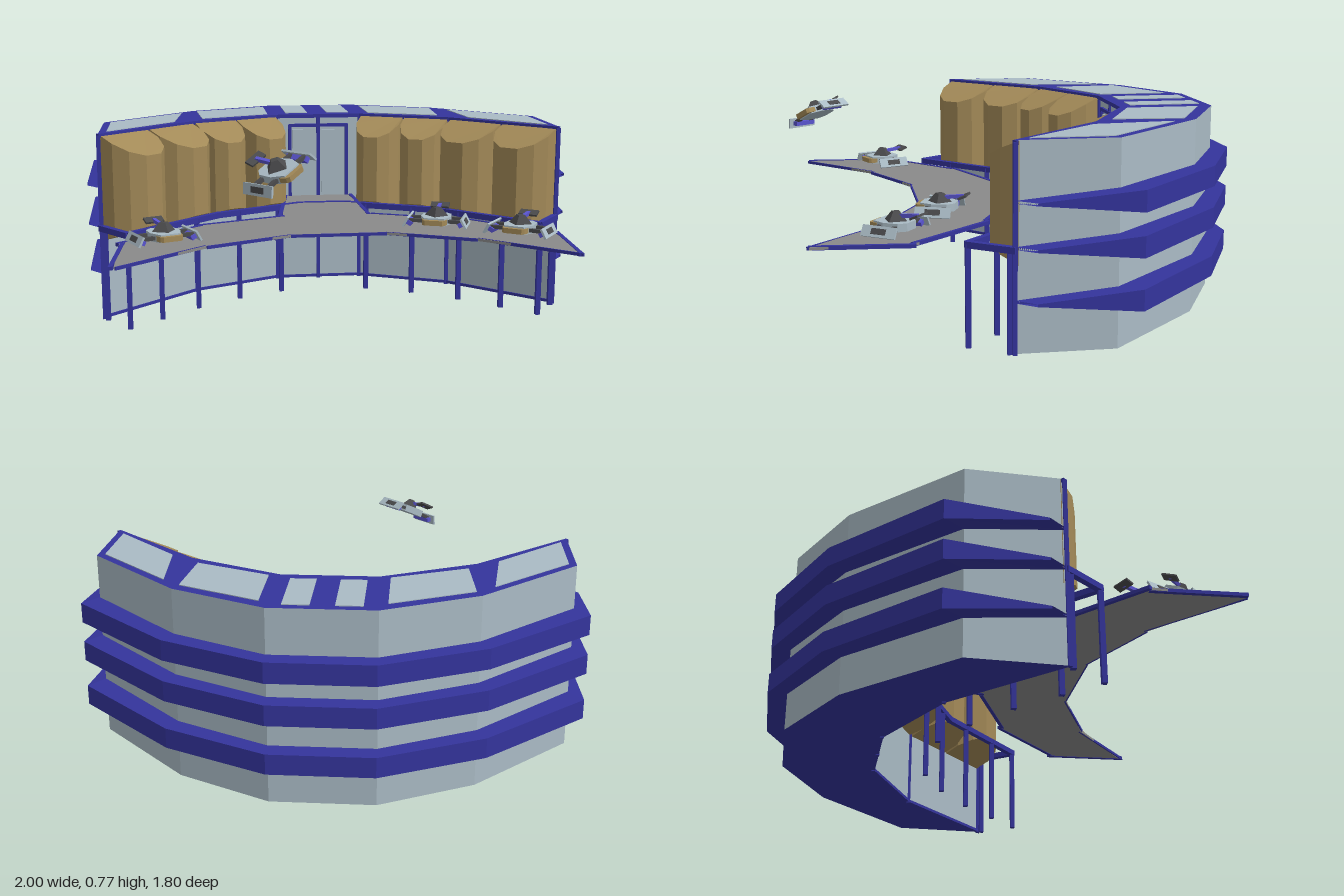
import * as THREE from 'three';

const mat = (color, extra = {}) => new THREE.MeshStandardMaterial({ color, flatShading: true, ...extra });
const GREY = mat(0xaabbc5), BLUE = mat(0x34349c), BROWN = mat(0xa38a58);
const DECK = mat(0x8a8a8a), DARK = mat(0x4a4a4c), VIOLET = mat(0x5a55d0);
const FIN = mat(0x34349c, { side: THREE.DoubleSide });

const V = (x, y, z) => new THREE.Vector3(x, y, z);
const mirrored = half => [...half, ...half.map(([x, z]) => [-x, z]).reverse()];

function add(parent, name, geo, material) {
  const m = new THREE.Mesh(geo, material);
  m.name = name;
  parent.add(m);
  return m;
}

// Upright prism over a plan outline of [x, z] points
function prism(plan, y0, y1) {
  const shape = new THREE.Shape(plan.map(([x, z]) => new THREE.Vector2(x, -z)));
  const g = new THREE.ExtrudeGeometry(shape, { depth: y1 - y0, bevelEnabled: false });
  return g.rotateX(-Math.PI / 2).translate(0, y0, 0);
}

// Square bar between two points
function bar(parent, name, p, q, w = 0.02, h = w, material = BLUE) {
  const m = add(parent, name, new THREE.BoxGeometry(w, h, p.distanceTo(q) + w * 0.5), material);
  m.position.copy(p).lerp(q, 0.5);
  m.lookAt(q);
  return m;
}

function rail(parent, name, plan, y, w, h) {
  for (let i = 0; i + 1 < plan.length; i++)
    bar(parent, name, V(plan[i][0], y, plan[i][1]), V(plan[i + 1][0], y, plan[i + 1][1]), w, h);
}

// Band around the outer wall, thinning to a blade at both front ends
function finGeometry(y) {
  const half = [ // inner x, z, outer x, z, half thickness
    [0.945, 0.11, 1.0, 0.04, 0.005], [0.945, -0.26, 1.0, -0.34, 0.04],
    [0.565, -0.65, 0.6, -0.72, 0.04], [0.2, -0.835, 0.2, -0.91, 0.04]];
  const rows = [...half, ...half.map(([a, b, c, d, t]) => [-a, b, -c, d, t]).reverse()];
  const pos = [], idx = [];
  rows.forEach(([a, b, c, d, t], i) => {
    pos.push(a, y + t, b, c, y + t, d, c, y - t, d, a, y - t, b);
    if (i === rows.length - 1) return;
    for (let j = 0; j < 4; j++) {
      const p = i * 4 + j, q = i * 4 + (j + 1) % 4;
      idx.push(p, q, q + 4, p, q + 4, p + 4);
    }
  });
  const g = new THREE.BufferGeometry();
  g.setAttribute('position', new THREE.Float32BufferAttribute(pos, 3));
  g.setIndex(idx);
  const flat = g.toNonIndexed();
  flat.computeVertexNormals();
  return flat;
}

// Faceted bay: top and underside slope in towards the front
function podGeometry(w) {
  const g = prism([[-w * 0.5, -0.01], [w * 0.5, -0.01], [w * 0.5, 0.07], [w * 0.38, 0.135], [w * 0.16, 0.175],
    [-w * 0.16, 0.175], [-w * 0.38, 0.135], [-w * 0.5, 0.07]], 0, 1);
  const p = g.attributes.position;
  for (let i = 0; i < p.count; i++) {
    const k = Math.max(0, p.getZ(i)) / 0.175;
    p.setY(i, p.getY(i) > 0.5 ? 0.757 - 0.08 * k : 0.32 + 0.07 * k);
  }
  g.computeVertexNormals();
  return g;
}

// Small craft, nose towards +z
function craft() {
  const g = new THREE.Group();
  g.name = 'craft';
  add(g, 'hull', prism(mirrored([[0.03, -0.065], [0.055, -0.04], [0.06, 0.02], [0.04, 0.07]]), 0.012, 0.042), GREY);
  add(g, 'noseBand', prism(mirrored([[0.05, 0.05], [0.045, 0.078], [0.035, 0.088]]), 0.016, 0.036), BROWN);
  const canopy = add(g, 'canopy', new THREE.CylinderGeometry(0.018, 0.048, 0.034, 4), DARK);
  canopy.position.set(0, 0.058, 0);
  bar(g, 'tailBoom', V(0, 0.06, -0.02), V(0, 0.066, -0.09), 0.014, 0.014, VIOLET);
  const tail = add(g, 'tailPlate', new THREE.BoxGeometry(0.075, 0.008, 0.035), DARK);
  tail.position.set(0, 0.066, -0.095);
  tail.rotation.x = 0.4;
  for (const s of [-1, 1]) {
    for (const z of [-0.03, 0.035])
      bar(g, 'strut', V(s * 0.04, 0.026, z), V(s * 0.11, 0.024, z), 0.016, 0.014, DARK);
    const side = new THREE.Group();
    side.name = 'sidePanel';
    side.position.set(s * 0.115, 0.022, 0);
    side.rotation.z = s * 0.5;
    add(side, 'plate', new THREE.BoxGeometry(0.008, 0.042, 0.14), GREY);
    add(side, 'inset', new THREE.BoxGeometry(0.002, 0.022, 0.06), DARK).position.x = s * 0.005;
    add(side, 'strip', new THREE.BoxGeometry(0.022, 0.018, 0.1), VIOLET).position.x = -s * 0.014;
    g.add(side);
  }
  return g;
}

export function createModel() {
  const root = new THREE.Group();
  root.name = 'station';

  // Curved main building
  const inner = [[0.19, -0.46], [0.565, -0.27], [0.945, 0.11]];
  const outer = [[0.945, -0.26], [0.565, -0.65], [0.2, -0.835]];
  add(root, 'building', prism(mirrored([...inner, ...outer]), 0, 0.76), [BLUE, GREY]);
  for (const y of [0.545, 0.382, 0.19]) add(root, 'outerFin', finGeometry(y), FIN);

  // Roof windows
  const windows = [
    [[0.045, -0.8], [0.145, -0.8], [0.145, -0.505], [0.045, -0.505]],
    [[0.23, -0.765], [0.545, -0.61], [0.525, -0.335], [0.23, -0.47]],
    [[0.615, -0.55], [0.915, -0.245], [0.915, 0.055], [0.645, -0.235]]];
  for (const s of [-1, 1]) for (const w of windows)
    add(root, 'roofWindow', prism(w.map(([x, z]) => [s * x, z]), 0.75, 0.763), GREY);

  // Edge trim and posts of the inner wall
  const wall = mirrored([...inner].reverse());
  rail(root, 'roofTrim', wall, 0.752, 0.016);
  rail(root, 'baseTrim', wall, 0.006, 0.012);
  for (const [x, z] of [...wall, [0, -0.46]])
    bar(root, 'wallPost', V(x, 0, z), V(x, 0.75, z), 0.016);

  // Doorway at the back of the walkway
  for (const s of [-1, 1]) {
    bar(root, 'doorFrame', V(s * 0.13, 0.38, -0.455), V(s * 0.13, 0.71, -0.455), 0.014);
    const leaf = add(root, 'doorLeaf', new THREE.BoxGeometry(0.1, 0.29, 0.008), GREY);
    leaf.position.set(s * 0.066, 0.545, -0.456);
  }
  bar(root, 'doorFrame', V(-0.13, 0.71, -0.455), V(0.13, 0.71, -0.455), 0.014);

  // Bays, two along each stretch of inner wall
  for (let k = 0; k < 2; k++) {
    const [ax, az] = inner[k], [bx, bz] = inner[k + 1];
    const len = Math.hypot(bx - ax, bz - az), turn = -Math.atan2(bz - az, bx - ax);
    for (const t of [0.26, 0.75]) for (const s of [-1, 1]) {
      const pod = add(root, 'bay', podGeometry(len * 0.47), BROWN);
      pod.position.set(s * (ax + (bx - ax) * t), 0, az + (bz - az) * t);
      pod.rotation.y = s * turn;
    }
  }

  // Support ring on legs
  const ring = mirrored([[0.945, 0.11], [0.835, 0.26], [0.47, -0.1], [0.1, -0.29]]);
  rail(root, 'supportRing', ring, 0.376, 0.024);
  const legs = [[0.93, 0.125], [0.835, 0.26], [0.71, 0.137], [0.56, -0.01], [0.38, -0.145], [0.19, -0.24]];
  for (const s of [-1, 1]) for (const [x, z] of legs)
    bar(root, 'leg', V(s * x, 0, z), V(s * x, 0.376, z), 0.02);

  // Landing deck with walkway
  const cx = -0.0125;
  const back = [[0.845, 0.81], [0.845, 0.445], [0.54, 0.15], [0.188, 0], [0.15, -0.46]];
  const front = [[0.188, 0.375], [0.518, 0.525]];
  const deck = new THREE.Group();
  deck.name = 'landingDeck';
  deck.position.x = cx;
  add(deck, 'deckPlate', prism(mirrored([...front, ...back]), 0.376, 0.386), DECK);
  for (const s of [-1, 1])
    rail(deck, 'deckEdge', back.map(([x, z]) => [s * x, z]), 0.381, 0.016, 0.014);
  rail(deck, 'deckFrontEdge', mirrored([[0.845, 0.81], [0.518, 0.525], [0.188, 0.375]]), 0.381, 0.006, 0.012);
  root.add(deck);

  // Three parked craft and one banking in flight
  const crafts = [[0.39, 0.395, 0.31, -0.36, 0], [0.68, 0.395, 0.5, -0.62, 0],
    [-0.69, 0.395, 0.47, 0.41, 0], [-0.27, 0.68, 0.76, 0.72, 0.45]];
  for (const [x, y, z, yaw, roll] of crafts) {
    const c = craft();
    c.position.set(x, y, z);
    c.rotation.set(0, yaw, roll, 'YXZ');
    root.add(c);
  }
  return root;
}
